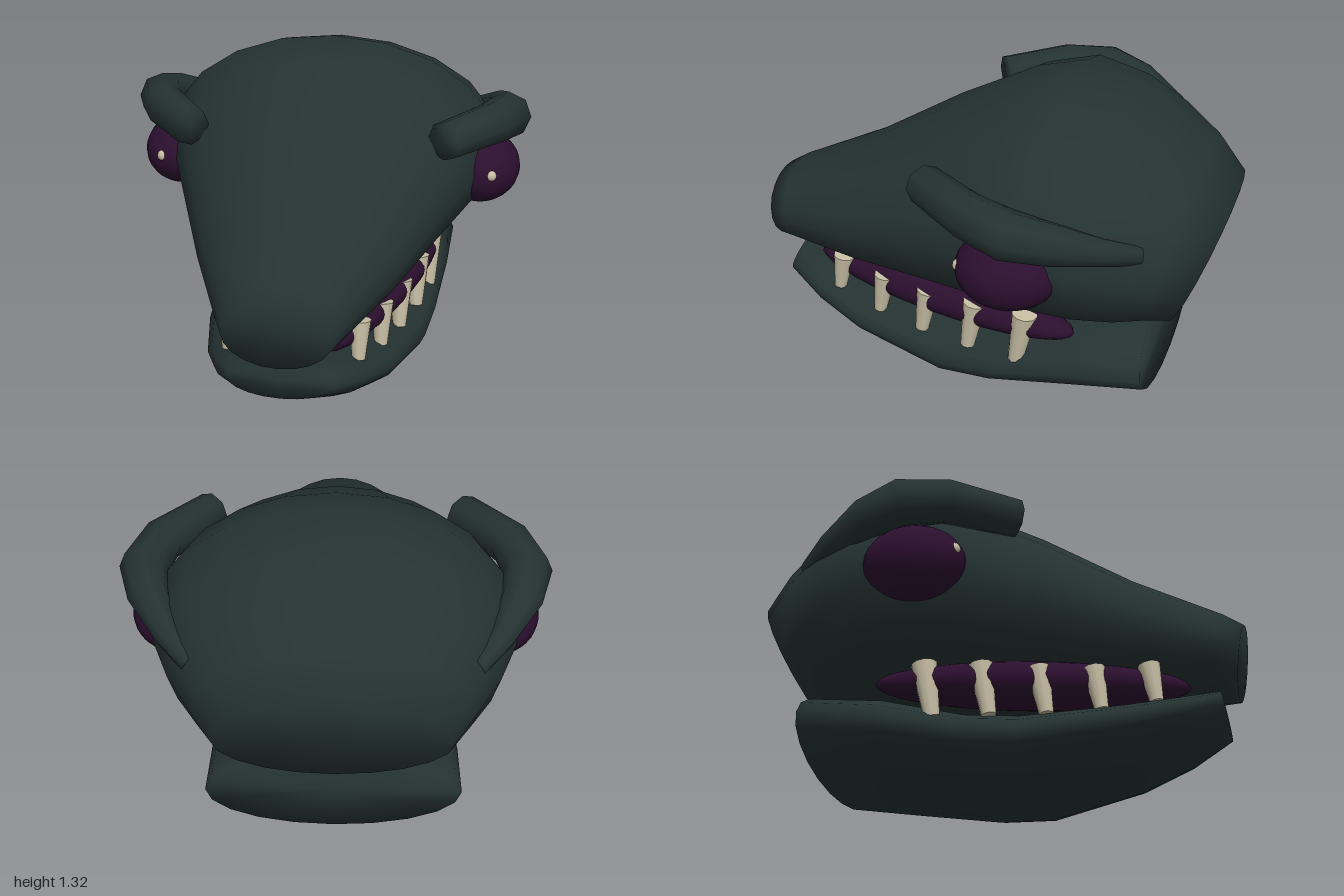
import * as THREE from 'three';

const mat = (name, color) => new THREE.MeshStandardMaterial({ name, color });

// Closed smooth loft: rings of equal point count, running front to back
function loft(rings) {
  const n = rings[0].length, pos = [], idx = [];
  for (const ring of rings) for (const p of ring) pos.push(p.x, p.y, p.z);
  for (let i = 0; i < rings.length - 1; i++) {
    for (let j = 0; j < n; j++) {
      const a = i * n + j, b = i * n + (j + 1) % n;
      idx.push(a, b, a + n, b, b + n, a + n);
    }
  }
  // End caps share the rim so the edges stay soft
  for (const [r, front] of [[0, true], [rings.length - 1, false]]) {
    const c = new THREE.Vector3();
    rings[r].forEach((p) => c.addScaledVector(p, 1 / n));
    const k = pos.length / 3;
    pos.push(c.x, c.y, c.z);
    for (let j = 0; j < n; j++) {
      const a = r * n + j, b = r * n + (j + 1) % n;
      if (front) idx.push(k, b, a); else idx.push(k, a, b);
    }
  }
  const g = new THREE.BufferGeometry();
  g.setAttribute('position', new THREE.Float32BufferAttribute(pos, 3));
  g.setIndex(idx);
  g.computeVertexNormals();
  return g;
}

// Elliptical ring around a centre, spanned by a side and an up vector
function ellipse(center, side, up, n) {
  return Array.from({ length: n }, (_, j) => {
    const a = (j / n) * Math.PI * 2;
    return center.clone().addScaledVector(side, Math.sin(a)).addScaledVector(up, Math.cos(a));
  });
}

// Tilted section: top z, top y, bottom z, bottom y, half width
function section([zt, yt, zb, yb, w]) {
  return ellipse(
    new THREE.Vector3(0, (yt + yb) / 2, (zt + zb) / 2),
    new THREE.Vector3(w, 0, 0),
    new THREE.Vector3(0, (yt - yb) / 2, (zt - zb) / 2), 20);
}

const HEAD = [
  [1, 0.70, 0.95, 0.41, 0.21], [0.92, 0.75, 0.87, 0.41, 0.25],
  [0.57, 0.91, 0.54, 0.40, 0.40], [0.22, 1.12, 0.20, 0.40, 0.54],
  [-0.10, 1.28, -0.08, 0.40, 0.66], [-0.31, 1.33, -0.28, 0.40, 0.72],
  [-0.53, 1.27, -0.45, 0.40, 0.71], [-0.71, 1.18, -0.60, 0.40, 0.64],
  [-0.87, 1.07, -0.70, 0.41, 0.55], [-1, 0.93, -0.78, 0.41, 0.46],
];

const JAW = [
  [0.88, 0.40, 0.91, 0.26, 0.21], [0.72, 0.37, 0.74, 0.17, 0.30],
  [0.52, 0.34, 0.52, 0.09, 0.38], [0.13, 0.31, 0.12, 0.01, 0.47],
  [-0.10, 0.33, -0.10, 0.02, 0.49], [-0.42, 0.42, -0.45, 0.075, 0.51],
  [-0.72, 0.45, -0.77, 0.13, 0.51],
];

// Brow path: x, y, z, radius
const BROW = [
  [0.52, 1.045, 0.14, 0.08], [0.70, 1.05, -0.10, 0.09], [0.755, 1.03, -0.27, 0.10],
  [0.72, 1.0, -0.42, 0.085], [0.63, 0.945, -0.60, 0.055], [0.54, 0.90, -0.72, 0.038],
];

// Teeth: x, top y, tip y, z, radius
const TEETH = [
  [0.26, 0.47, 0.31, 0.63, 0.045], [0.32, 0.45, 0.27, 0.42, 0.046],
  [0.37, 0.45, 0.25, 0.21, 0.048], [0.415, 0.465, 0.245, -0.01, 0.05],
  [0.445, 0.475, 0.24, -0.23, 0.053],
];

function browGeometry(s) {
  const pts = BROW.map(([x, y, z]) => new THREE.Vector3(s * x, y, z));
  const yAxis = new THREE.Vector3(0, 1, 0);
  return loft(pts.map((p, i) => {
    const t = pts[Math.min(i + 1, pts.length - 1)].clone().sub(pts[Math.max(i - 1, 0)]).normalize();
    const side = t.clone().cross(yAxis).normalize();
    const up = side.clone().cross(t).normalize();
    const r = BROW[i][3];
    return ellipse(p, side.multiplyScalar(r), up.multiplyScalar(r), 8);
  }));
}

export function createModel() {
  const model = new THREE.Group();
  const skin = mat('dark skin', 0x253232);
  const purple = mat('dark purple', 0x2c0f2f);
  const ivory = mat('ivory', 0xc9c0a6);

  const add = (name, geometry, material, parent = model) => {
    const m = new THREE.Mesh(geometry, material);
    m.name = name;
    parent.add(m);
    return m;
  };

  add('upperHead', loft(HEAD.map(section)), skin);
  add('lowerJaw', loft(JAW.map(section)), skin);

  for (const s of [1, -1]) {
    const half = new THREE.Group();
    half.name = s > 0 ? 'leftDetails' : 'rightDetails';
    model.add(half);

    add('brow', browGeometry(s), skin, half);

    // Eye with a small glint on its front
    const eye = add('eye', new THREE.SphereGeometry(1, 24, 16), purple, half);
    eye.scale.set(0.17, 0.15, 0.205);
    eye.position.set(s * 0.65, 0.81, -0.24);
    const glint = add('eyeGlint', new THREE.SphereGeometry(0.025, 12, 8), ivory, half);
    glint.position.set(s * 0.705, 0.83, -0.066);

    // Gum swelling along the mouth line
    const gum = add('gum', new THREE.SphereGeometry(1, 24, 16), purple, half);
    gum.scale.set(0.13, 0.092, 0.63);
    gum.position.set(s * 0.285, 0.41, 0.16);
    gum.rotation.y = -s * 0.24;

    // Blunt teeth leaning forward at the tip
    for (const [x, top, tip, z, r] of TEETH) {
      const tooth = add('tooth', new THREE.CylinderGeometry(r, r * 0.6, top - tip, 10), ivory, half);
      tooth.position.set(s * x, (top + tip) / 2, z);
      tooth.rotation.x = -0.16;
    }
  }
  return model;
}
